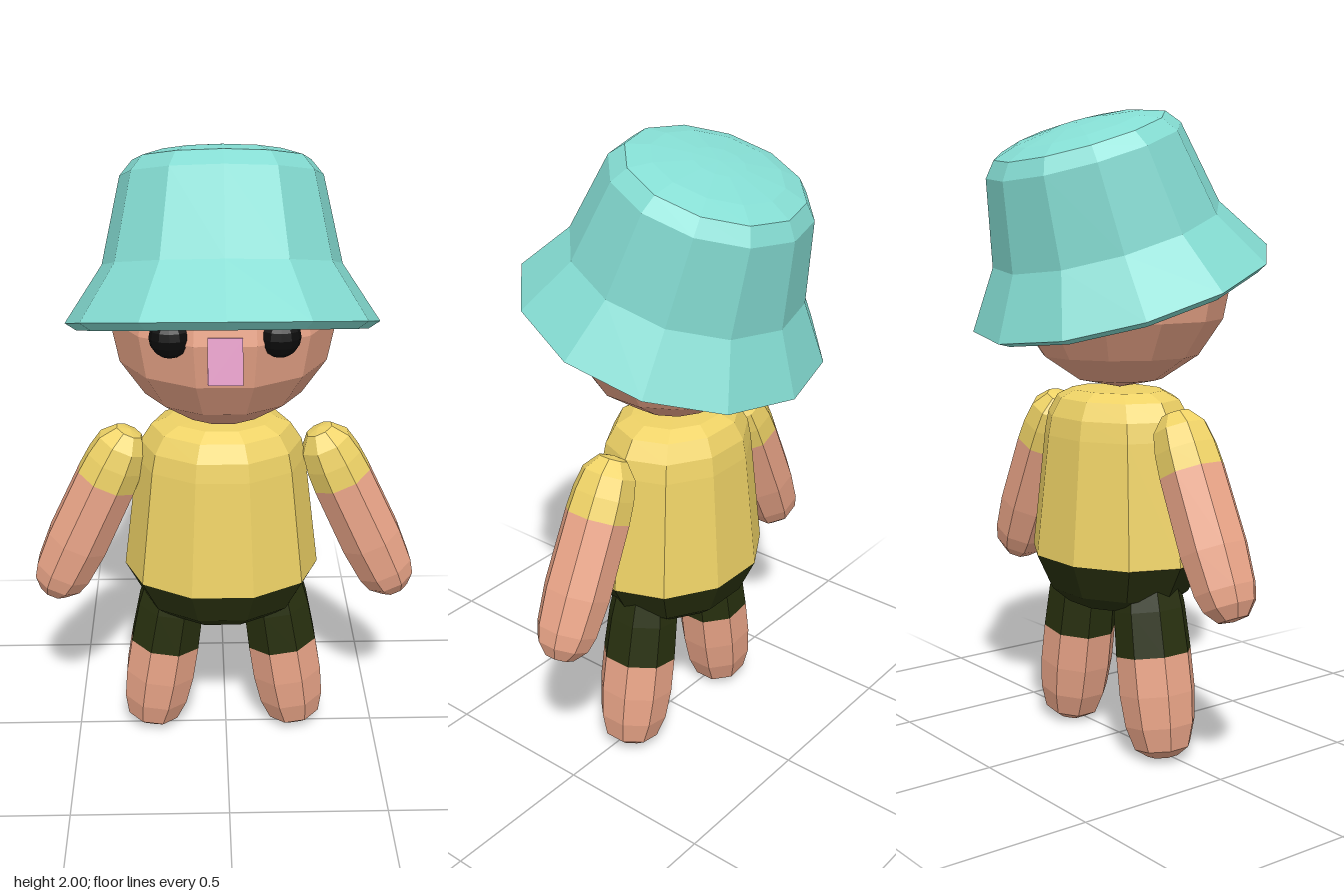
import * as THREE from 'three';

const mat = (color) => new THREE.MeshStandardMaterial({ color, flatShading: true, roughness: 0.9, metalness: 0 });
const SKIN = mat(0xeaa588), SHIRT = mat(0xeed266), SHORTS = mat(0x28300f);
const HAT = mat(0x84dcd2), BLACK = mat(0x0c0c0c), PINK = mat(0xd78dba);
const CX = -0.01;

function add(parent, name, geometry, material, x = 0, y = 0, z = 0) {
  const mesh = new THREE.Mesh(geometry, material);
  mesh.name = name;
  mesh.position.set(x, y, z);
  parent.add(mesh);
  return mesh;
}

// Faceted solid of revolution; profile is [radius, height] running upward on the outside
function turned(profile, sides, start = 0) {
  return new THREE.LatheGeometry(profile.map(([r, y]) => new THREE.Vector2(r, y)), sides, start);
}

// Two-tone limb whose joint between cloth and skin sits at its origin
function limb(parent, name, cloth, upper, lower, x, y, angle) {
  const g = new THREE.Group();
  g.name = name;
  g.position.set(x, y, -0.02);
  g.rotation.z = angle;
  add(g, name + 'Cloth', turned(upper, 8, Math.PI / 8), cloth);
  add(g, name + 'Skin', turned(lower, 8, Math.PI / 8), SKIN);
  parent.add(g);
}

export function createModel() {
  const model = new THREE.Group();
  model.name = 'figure';

  // Torso: oval, ten sides
  const torso = new THREE.Group();
  torso.name = 'torso';
  torso.position.set(CX - 0.005, 0, -0.018);
  torso.scale.z = 0.81;
  add(torso, 'shirt', turned([[0.315, 0.62], [0.268, 1.0], [0.255, 1.06], [0.22, 1.115], [0.165, 1.14], [0, 1.145]], 10, Math.PI / 10), SHIRT);
  add(torso, 'shortsWaist', turned([[0, 0.44], [0.1, 0.443], [0.19, 0.465], [0.255, 0.51], [0.315, 0.62]], 10, Math.PI / 10), SHORTS);
  model.add(torso);

  // Arms and legs, mirrored
  for (const s of [1, -1]) {
    const side = s > 0 ? 'left' : 'right';
    limb(model, side + 'Arm', SHIRT,
      [[0.103, 0], [0.098, 0.07], [0.085, 0.135], [0.045, 0.182], [0, 0.19]],
      [[0, -0.457], [0.048, -0.45], [0.083, -0.41], [0.097, -0.36], [0.106, -0.24], [0.103, 0]],
      -0.005 + s * 0.377, 0.925, s * 0.434);
    limb(model, side + 'Leg', SHORTS,
      [[0.121, 0], [0.115, 0.14], [0.1, 0.25], [0, 0.26]],
      [[0, -0.327], [0.05, -0.323], [0.09, -0.295], [0.113, -0.22], [0.122, -0.12], [0.121, 0]],
      -0.008 + s * 0.196, 0.33, s * 0.157);
  }

  // Head
  const head = add(model, 'head', new THREE.SphereGeometry(0.35, 12, 8), SKIN, CX, 1.495, -0.005);
  head.rotation.y = Math.PI / 12;

  // Eyes
  for (const s of [1, -1]) {
    const eye = add(model, s > 0 ? 'leftEye' : 'rightEye', new THREE.SphereGeometry(0.06, 12, 8), BLACK, CX + s * 0.157, 1.51, 0.295);
    eye.scale.z = 0.75;
  }

  // Nose: wedge with its side profile in (z, y)
  const wedge = new THREE.Shape([[0.28, 1.52], [0.29, 1.375], [0.308, 1.372], [0.37, 1.392], [0.332, 1.52]]
    .map(([z, y]) => new THREE.Vector2(z, y)));
  const nose = add(model, 'nose', new THREE.ExtrudeGeometry(wedge, { depth: 0.1, bevelEnabled: false }), PINK, CX + 0.05);
  nose.rotation.y = -Math.PI / 2;
  nose.position.x = CX + 0.05;

  // Hat: inner lining down, round the brim lip, then outside up to the crown
  const hat = add(model, 'hat', turned([
    [0, 0.47], [0.24, 0.44], [0.28, 0.4], [0.335, 0.15], [0.445, -0.022],
    [0.48, 0], [0.365, 0.175], [0.308, 0.44], [0.27, 0.486], [0.2, 0.508], [0.08, 0.523], [0, 0.526],
  ], 12), HAT, CX, 1.455, 0);
  hat.rotation.x = -0.328;

  return model;
}
